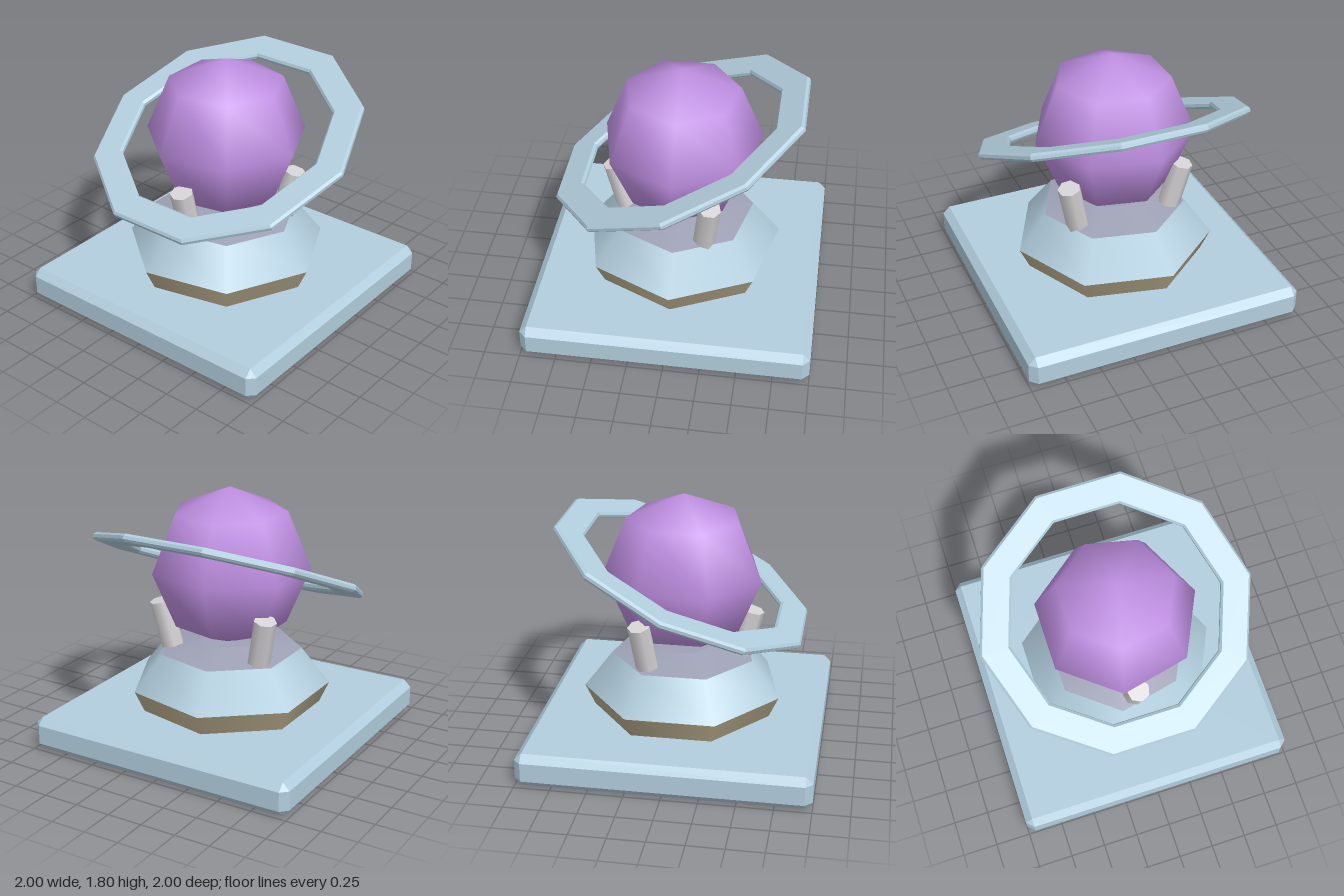
import * as THREE from 'three';
import { ConvexGeometry } from 'three/addons/geometries/ConvexGeometry.js';

const mat = (name, color) => {
  const m = new THREE.MeshStandardMaterial({ color });
  m.name = name;
  return m;
};

// Lathe with its first corner on +x; the profile runs upward on the outside.
const turn = (profile, sides) =>
  new THREE.LatheGeometry(profile.map(([r, y]) => new THREE.Vector2(r, y)), sides, Math.PI / 2);

const faceted = (geometry) => {
  const g = geometry.toNonIndexed();
  g.computeVertexNormals();
  return g;
};

export function createModel() {
  const model = new THREE.Group();
  model.name = 'ringedOrbPedestal';

  const blue = mat('pale blue', 0xb2cede);
  const tan = mat('tan', 0xb8ab8c);
  const slate = mat('lavender grey', 0x9fa2b6);
  const white = mat('light grey', 0xd6d4d6);
  const purple = mat('purple', 0xbf8fe2);

  const add = (name, geometry, material, parent = model) => {
    const mesh = new THREE.Mesh(geometry, material);
    mesh.name = name;
    parent.add(mesh);
    return mesh;
  };

  // Square slab with every edge chamfered
  const H = 0.1175, c = 0.05, corners = [];
  for (const sx of [-1, 1]) for (const sy of [-1, 1]) for (const sz of [-1, 1]) {
    corners.push(
      new THREE.Vector3(sx, sy * (H - c), sz * (1 - c)),
      new THREE.Vector3(sx * (1 - c), sy * H, sz * (1 - c)),
      new THREE.Vector3(sx * (1 - c), sy * (H - c), sz),
    );
  }
  add('base', new ConvexGeometry(corners), blue).position.y = H;

  // Seven-sided pedestal, one mesh per band for crisp horizontal edges
  const bands = [
    ['pedestalFoot', tan, [0.635, 0.22], [0.71, 0.385]],
    ['pedestalShoulder', blue, [0.71, 0.385], [0.51, 0.64]],
    ['pedestalCap', slate, [0.51, 0.64], [0.21, 0.7]],
    ['pedestalTop', slate, [0.21, 0.7], [0, 0.7]],
  ];
  for (const [name, material, low, high] of bands) add(name, turn([low, high], 7), material);

  // Three posts leaning outward, holding the orb
  for (let i = 0; i < 3; i++) {
    const arm = new THREE.Group();
    arm.name = 'supportPost' + (i + 1);
    arm.rotation.y = (i * Math.PI * 2) / 3;
    const post = add('post', new THREE.CylinderGeometry(0.08, 0.08, 0.417, 7), white, arm);
    post.position.set(0, 0.78, 0.435);
    post.rotation.x = 0.245;
    model.add(arm);
  }

  // Low-poly orb with smooth shading
  add('orb', new THREE.SphereGeometry(0.565, 7, 4, Math.PI), purple).position.y = 1.235;

  // Flat ten-sided ring with chamfered rims, tilted down at the front
  const R = 0.965, r = 0.75, t = 0.027, b = 0.016;
  const section = [
    [R - b, -t], [R, b - t], [R, t - b], [R - b, t],
    [r + b, t], [r, t - b], [r, b - t], [r + b, -t], [R - b, -t],
  ];
  const ring = add('ring', faceted(turn(section, 10)), blue);
  ring.position.y = 1.235;
  ring.rotation.x = 0.42;

  return model;
}
